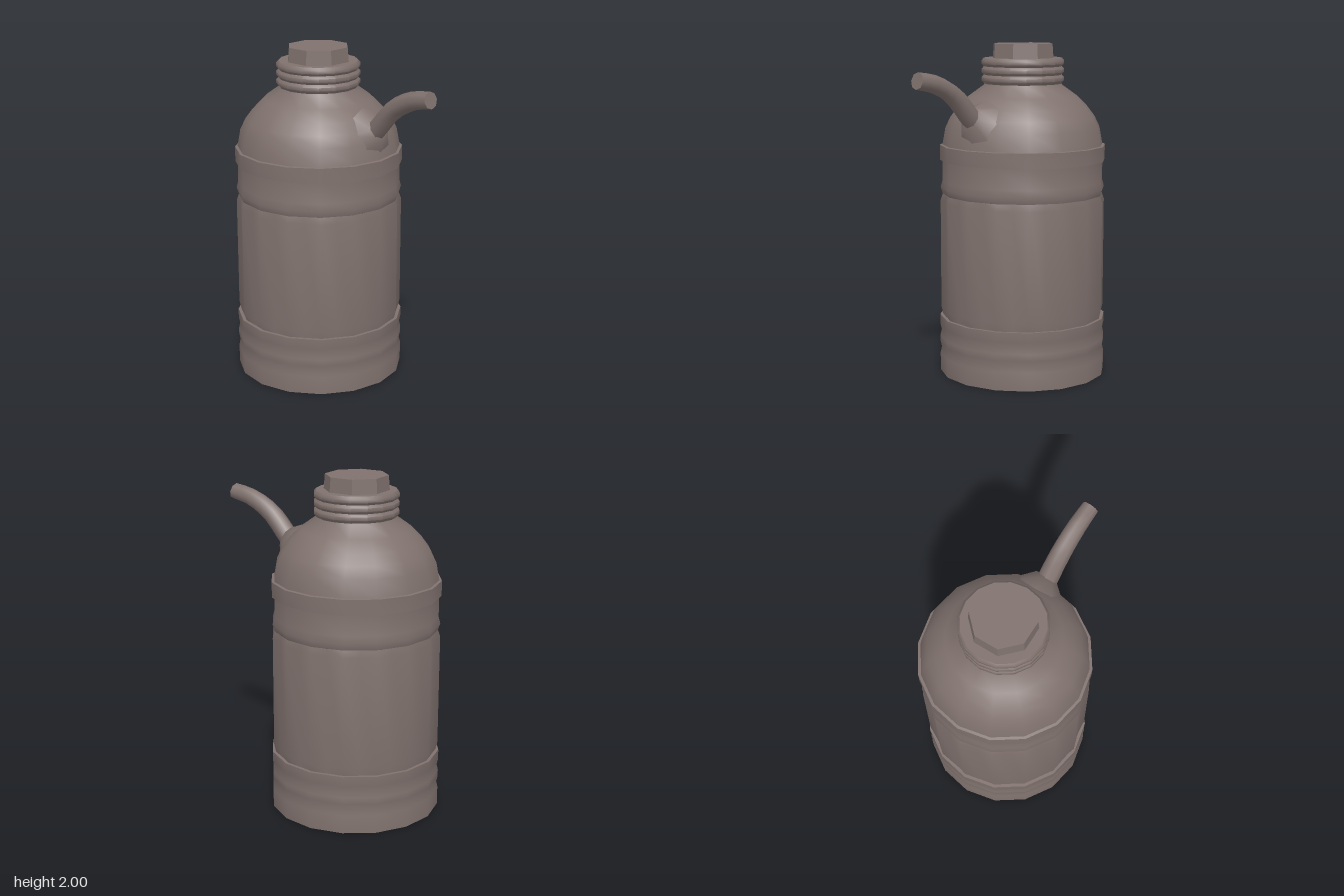
import * as THREE from 'three';
import { toCreasedNormals } from 'three/addons/utils/BufferGeometryUtils.js';

export function createModel() {
  const model = new THREE.Group();
  model.name = 'spoutedCan';
  const material = new THREE.MeshStandardMaterial({ color: 0x80726e });
  const body = new THREE.Group();
  body.name = 'body';
  body.position.z = -0.19;
  model.add(body);

  const add = (name, geometry, parent = body) => {
    const mesh = new THREE.Mesh(geometry, material);
    mesh.name = name;
    parent.add(mesh);
    return mesh;
  };
  const lathe = (points, sides = 16) =>
    new THREE.LatheGeometry(points.map(([r, y]) => new THREE.Vector2(r, y)), sides);
  const turned = (name, points) => add(name, toCreasedNormals(lathe(points), 0.8));

  // Base with two shallow grooves
  turned('base', [[0, 0], [0.505, 0], [0.505, 0.11], [0.497, 0.145], [0.505, 0.18],
    [0.505, 0.22], [0.497, 0.255], [0.505, 0.29], [0.505, 0.35], [0.48, 0.35]]);

  // Fluted wall: sixteen ribs with a hollow between each pair
  const wall = lathe([[0.485, 0.345], [0.498, 0.4], [0.498, 1.06], [0.484, 1.1]], 32);
  const p = wall.attributes.position;
  for (let i = 0; i < p.count; i++) {
    const step = Math.round(Math.atan2(p.getX(i), p.getZ(i)) / (Math.PI / 16));
    if (Math.abs(step) % 2 === 0) continue;
    const inner = p.getY(i) > 0.38 && p.getY(i) < 1.08;
    const k = inner ? 0.958 : 0.981;
    p.setX(i, p.getX(i) * k);
    p.setZ(i, p.getZ(i) * k);
  }
  add('flutedWall', toCreasedNormals(wall, 0.9));

  // Upper wall with one raised bead
  turned('upperWall', [[0.484, 1.1], [0.497, 1.14], [0.486, 1.18], [0.486, 1.305]]);

  // Collar under the dome
  turned('collar', [[0.47, 1.305], [0.5, 1.305], [0.5, 1.395], [0.475, 1.4]]);

  turned('shoulder', [[0.485, 1.395], [0.466, 1.5], [0.435, 1.565], [0.39, 1.625],
    [0.325, 1.69], [0.235, 1.755], [0.225, 1.78]]);

  // Neck with three rounded threads
  const neck = [[0.225, 1.75]];
  for (let i = 0; i < 3; i++) {
    const y = 1.765 + i * 0.05;
    neck.push([0.234, y], [0.248, y + 0.015], [0.248, y + 0.035]);
  }
  neck.push([0.235, 1.915], [0, 1.915]);
  turned('threadedNeck', neck);

  // Octagonal stopper
  const stopper = add('stopper', toCreasedNormals(
    new THREE.CylinderGeometry(0.184, 0.191, 0.09, 8), 0.5));
  stopper.rotation.y = Math.PI / 8;
  stopper.position.y = 1.955;

  // Spout: a flared foot on the shoulder and a curved tube, leaning slightly aside
  const spout = new THREE.Group();
  spout.name = 'spout';
  model.add(spout);
  const axis = new THREE.Vector3(0, 0.447, 0.894).normalize();
  const foot = add('spoutFoot', toCreasedNormals(
    new THREE.CylinderGeometry(0.066, 0.145, 0.075, 8), 0.9), spout);
  foot.quaternion.setFromUnitVectors(new THREE.Vector3(0, 1, 0), axis);
  foot.position.set(0.015, 1.55, 0.215).addScaledVector(axis, 0.036);

  const path = new THREE.CatmullRomCurve3([[0.01, 1.47, 0.16], [0.004, 1.57, 0.265],
    [-0.006, 1.715, 0.405], [-0.015, 1.79, 0.55], [-0.024, 1.815, 0.68]]
    .map((v) => new THREE.Vector3(...v)));
  const tube = new THREE.TubeGeometry(path, 10, 0.061, 8);
  // Narrow the tube a little towards its tip
  const t = tube.attributes.position;
  for (let i = 0; i < t.count; i++) {
    const u = Math.floor(i / 9) / 10;
    const c = path.getPointAt(u);
    const v = new THREE.Vector3().fromBufferAttribute(t, i).sub(c)
      .multiplyScalar(1 - 0.2 * u * u).add(c);
    t.setXYZ(i, v.x, v.y, v.z);
  }
  add('spoutTube', tube, spout);

  const tip = add('spoutTip', new THREE.CircleGeometry(0.05, 8), spout);
  tip.position.copy(path.getPointAt(1));
  tip.quaternion.setFromUnitVectors(new THREE.Vector3(0, 0, 1), path.getTangentAt(1));

  return model;
}
